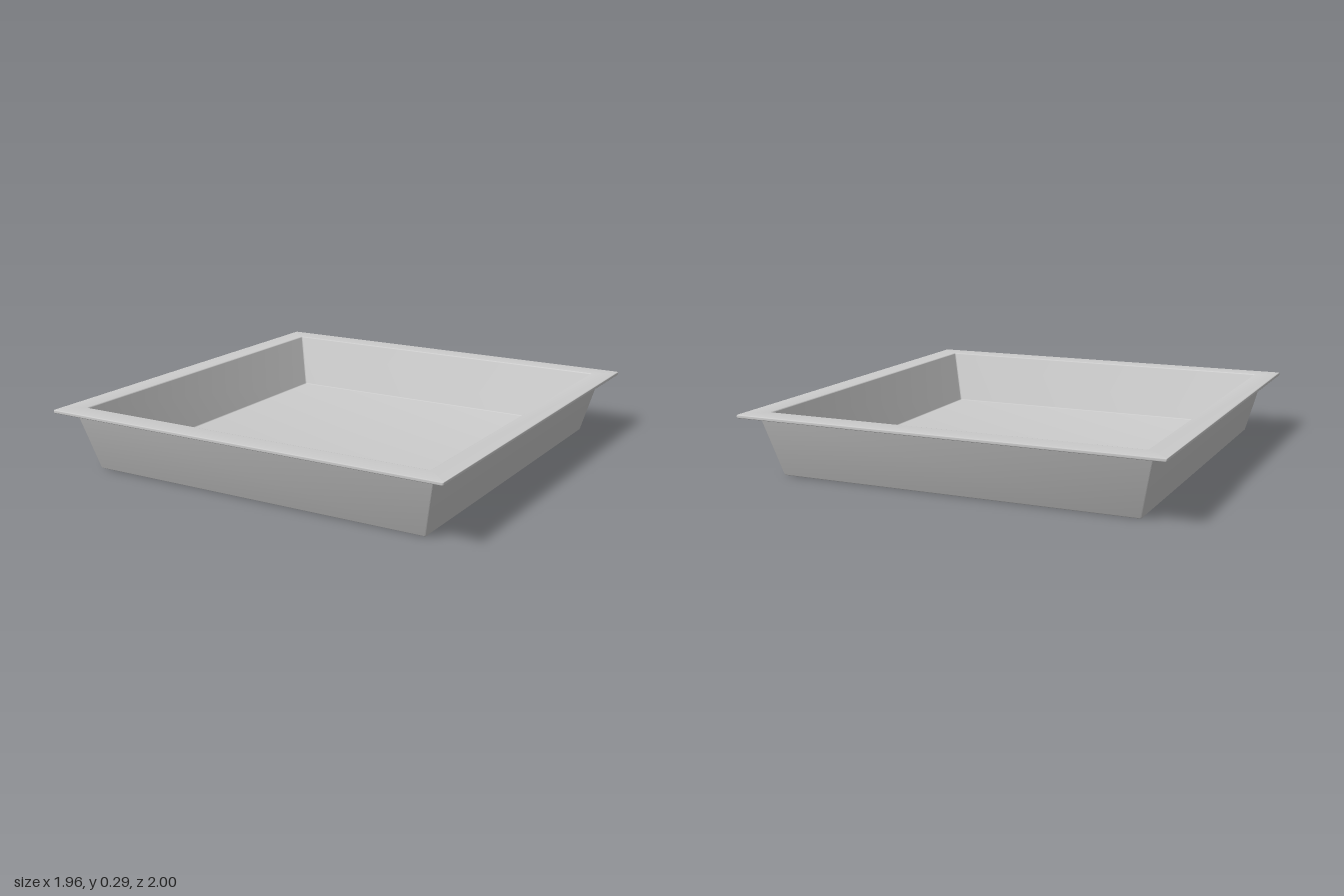
import * as THREE from 'three';
import { toCreasedNormals } from 'three/addons/utils/BufferGeometryUtils.js';

const HALF_X = 0.98, HALF_Z = 1.0;

// Cross-section corners: [inset from the rim edge, height, rounding]
const SECTION = [
  [0.14, 0, 0.008],        // outer base edge
  [0.071, 0.277, 0.012],   // wall meets underside of rim
  [0, 0.277, 0.006],       // rim edge, lower
  [0, 0.293, 0.006],       // rim edge, upper
  [0.108, 0.293, 0.005],   // opening edge
  [0.178, 0.037, 0.005],   // inner floor edge
];

// Replace each corner of the section by a short curve
function roundedSection() {
  const points = SECTION.map(([d, y]) => new THREE.Vector2(d, y));
  const first = new THREE.Vector2(0.9, 0), last = new THREE.Vector2(0.9, 0.037);
  return points.flatMap((p, i) => {
    const r = SECTION[i][2];
    const toward = (q) => q.clone().sub(p).setLength(r).add(p);
    const a = toward(points[i - 1] ?? first), b = toward(points[i + 1] ?? last);
    return new THREE.QuadraticBezierCurve(a, p, b).getPoints(4);
  });
}

// One rectangular ring with slightly rounded corners
function ring(inset, y) {
  const r = 0.006, steps = 3, out = [];
  [[1, 1], [-1, 1], [-1, -1], [1, -1]].forEach(([sx, sz], q) => {
    for (let k = 0; k <= steps; k++) {
      const t = (q + k / steps) * Math.PI / 2;
      out.push([
        sx * (HALF_X - inset - r) + r * Math.cos(t), y,
        sz * (HALF_Z - inset - r) + r * Math.sin(t),
      ]);
    }
  });
  return out;
}

function trayGeometry() {
  const section = roundedSection();
  const rings = section.map((p) => ring(p.x, p.y));
  const n = rings[0].length;
  const centre = (y) => Array.from({ length: n }, () => [0, y, 0]);
  rings.unshift(centre(0));        // closes the base
  rings.push(centre(0.037));       // closes the floor
  const index = [];
  for (let i = 0; i < rings.length - 1; i++) {
    for (let j = 0; j < n; j++) {
      const k = (j + 1) % n;
      const a = i * n + j, b = i * n + k, c = b + n, d = a + n;
      if (i < rings.length - 2) index.push(a, d, c);
      if (i > 0) index.push(a, c, b);
      if (i === rings.length - 2) continue;
    }
  }
  const geometry = new THREE.BufferGeometry();
  geometry.setAttribute('position', new THREE.Float32BufferAttribute(rings.flat(2), 3));
  geometry.setIndex(index);
  return toCreasedNormals(geometry, Math.PI / 5);
}

export function createModel() {
  const group = new THREE.Group();
  group.name = 'squareTray';
  const material = new THREE.MeshStandardMaterial({ color: 0xcccccc });
  const tray = new THREE.Mesh(trayGeometry(), material);
  tray.name = 'trayBodyWithRim';
  group.add(tray);
  return group;
}
